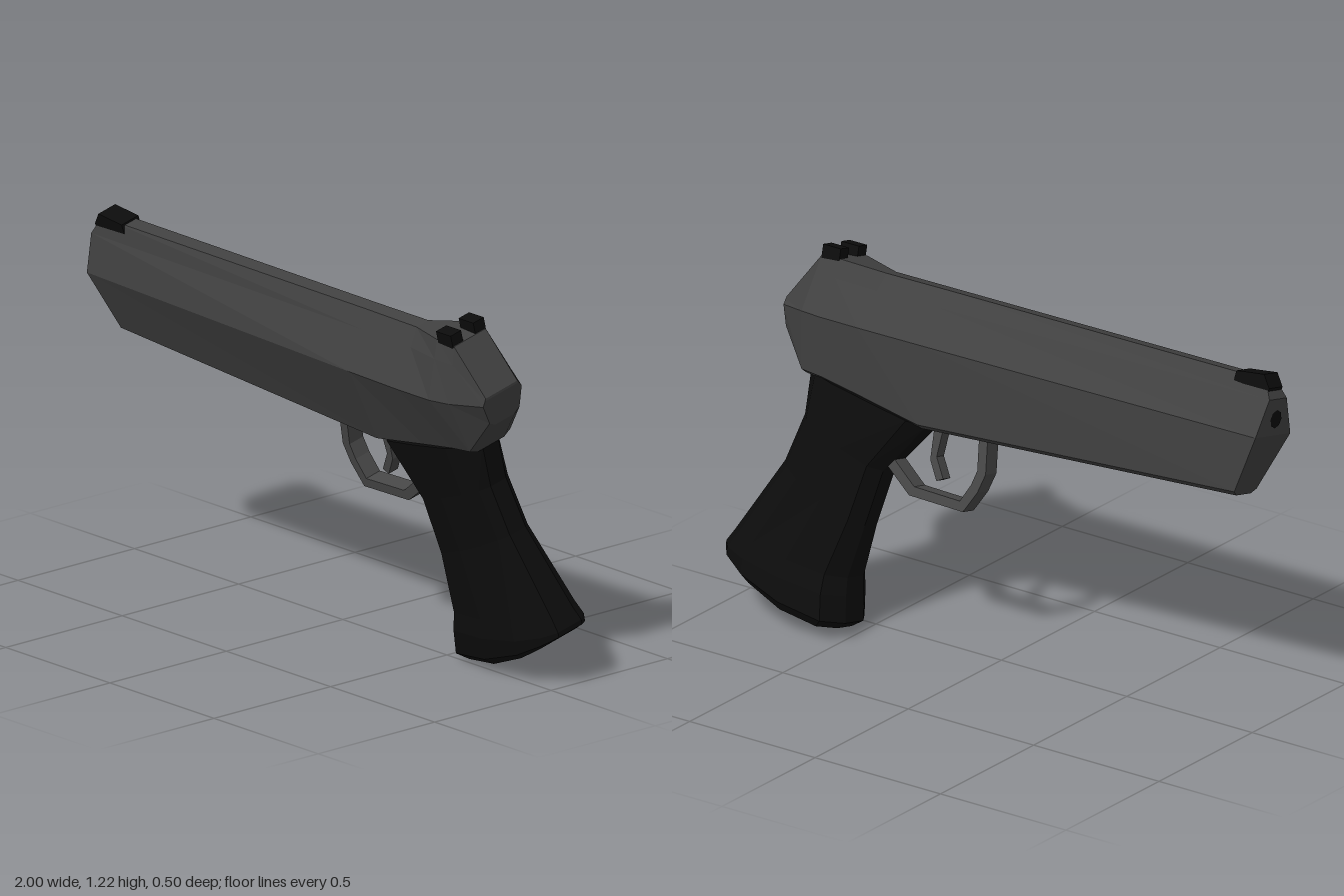
import * as THREE from 'three';

const gunmetal = new THREE.MeshStandardMaterial({ color: 0x404040 });
gunmetal.name = 'gunmetal';
const steel = new THREE.MeshStandardMaterial({ color: 0x474747 });
steel.name = 'guardSteel';
const black = new THREE.MeshStandardMaterial({ color: 0x0c0c0c });
black.name = 'blackPolymer';

function mesh(name, geometry, material) {
  const m = new THREE.Mesh(geometry, material);
  m.name = name;
  return m;
}

// Faceted skin over mirrored half-sections; each section is a list of [x, y, z] with z >= 0
function loft(sections) {
  const pos = [];
  const quad = (a, b, c, d) => pos.push(...a, ...b, ...c, ...a, ...c, ...d);
  const rings = sections.map(half =>
    [...half, ...half.map(([x, y, z]) => [x, y, -z]).reverse()]);
  const n = rings[0].length;
  for (let k = 0; k < rings.length - 1; k++) {
    for (let i = 0; i < n; i++) {
      const j = (i + 1) % n;
      quad(rings[k][i], rings[k][j], rings[k + 1][j], rings[k + 1][i]);
    }
  }
  const first = rings[0], last = rings[rings.length - 1];
  for (let i = 0; i < n / 2 - 1; i++) {
    quad(first[i], first[n - 1 - i], first[n - 2 - i], first[i + 1]);
    quad(last[i], last[i + 1], last[n - 2 - i], last[n - 1 - i]);
  }
  const g = new THREE.BufferGeometry();
  g.setAttribute('position', new THREE.Float32BufferAttribute(pos, 3));
  g.computeVertexNormals();
  return g;
}

// Side profile given a width across z
function plate(points, width) {
  const shape = new THREE.Shape(points.map(([x, y]) => new THREE.Vector2(x, y)));
  return new THREE.ExtrudeGeometry(shape, { depth: width, bevelEnabled: false })
    .translate(0, 0, -width / 2);
}

// Body section: roof edge, upper side, widest line, lower side, underside edge
function bodySection(x, topHalf, topY, midHalf, midY, lowHalf, bottomY) {
  const xs = Array.isArray(x) ? x : [x, x, x, x, x];
  const f = 0.32;
  return [
    [xs[0], topY, topHalf],
    [xs[1], topY + (midY - topY) * f, topHalf + (midHalf - topHalf) * f],
    [xs[2], midY, midHalf],
    [xs[3], bottomY + 0.015, lowHalf],
    [xs[4], bottomY, lowHalf * 0.65],
  ];
}

// Grip section: slanted, rounded outline from front point to back point
function gripSection(xf, yf, xb, yb, half, sag = 1) {
  const outline = [[0, 0.35], [0.1, 0.88], [0.42, 1], [0.74, 0.94], [0.92, 0.68], [1, 0.36]];
  return outline.map(([t, w]) =>
    [xf + (xb - xf) * t, yf + (yb - yf) * Math.pow(t, sag), half * w]);
}

export function createModel() {
  const group = new THREE.Group();
  group.name = 'pistol';
  // The whole piece leans sideways
  group.rotation.x = 0.235;
  group.position.set(0, 0.029, -0.122);

  // Body with slanted muzzle and tapered rear
  group.add(mesh('body', loft([
    bodySection([-0.96, -1, -1, -0.925, -0.92], 0.025, 1.178, 0.096, 1.0, 0.062, 0.787),
    bodySection(0.31, 0.024, 1.17, 0.143, 0.999, 0.086, 0.715),
    bodySection(0.55, 0.026, 1.168, 0.15, 0.999, 0.092, 0.758),
    bodySection(0.7, 0.07, 1.182, 0.15, 0.999, 0.093, 0.782),
    bodySection(0.78, 0.07, 1.176, 0.138, 0.999, 0.09, 0.788),
    bodySection([0.89, 0.89, 0.888, 0.88, 0.878], 0.07, 1.015, 0.085, 0.99, 0.066, 0.905),
  ]), gunmetal));

  // Grip, flaring at the foot
  group.add(mesh('grip', loft([
    gripSection(0.535, 0.0, 0.97, 0.145, 0.112, 2),
    gripSection(0.5, 0.025, 1.0, 0.165, 0.142, 1.8),
    gripSection(0.512, 0.11, 1.0, 0.182, 0.142, 1.4),
    gripSection(0.52, 0.17, 0.975, 0.225, 0.128),
    gripSection(0.49, 0.35, 0.83, 0.485, 0.096),
    gripSection(0.45, 0.54, 0.78, 0.65, 0.094),
    gripSection(0.31, 0.717, 0.78, 0.8, 0.096, 0.75),
  ]), black));

  // Trigger guard and trigger
  group.add(mesh('triggerGuard', plate([
    [0.07, 0.74], [0.058, 0.62], [0.08, 0.555], [0.125, 0.481], [0.34, 0.485], [0.46, 0.575],
    [0.46, 0.62], [0.325, 0.517], [0.143, 0.513], [0.108, 0.575], [0.092, 0.625], [0.104, 0.74],
  ], 0.06), steel));
  group.add(mesh('trigger', plate([
    [0.25, 0.74], [0.262, 0.63], [0.225, 0.565], [0.25, 0.553], [0.285, 0.615], [0.287, 0.74],
  ], 0.04), steel));

  // Sights
  group.add(mesh('frontSight', plate([
    [-0.982, 1.14], [-0.845, 1.15], [-0.85, 1.183], [-0.958, 1.196], [-0.985, 1.155],
  ], 0.074), black));
  for (const side of [-1, 1]) {
    const block = mesh(side > 0 ? 'rearSightLeft' : 'rearSightRight',
      new THREE.BoxGeometry(0.07, 0.05, 0.046), black);
    block.position.set(0.742, 1.19, side * 0.05);
    group.add(block);
  }

  // Dark bore disc on the muzzle face
  const bore = mesh('bore', new THREE.CircleGeometry(0.03, 8), black);
  bore.rotation.y = -Math.PI / 2;
  bore.position.set(-1.003, 1.055, 0);
  group.add(bore);

  const model = new THREE.Group();
  model.add(group);
  return model;
}
